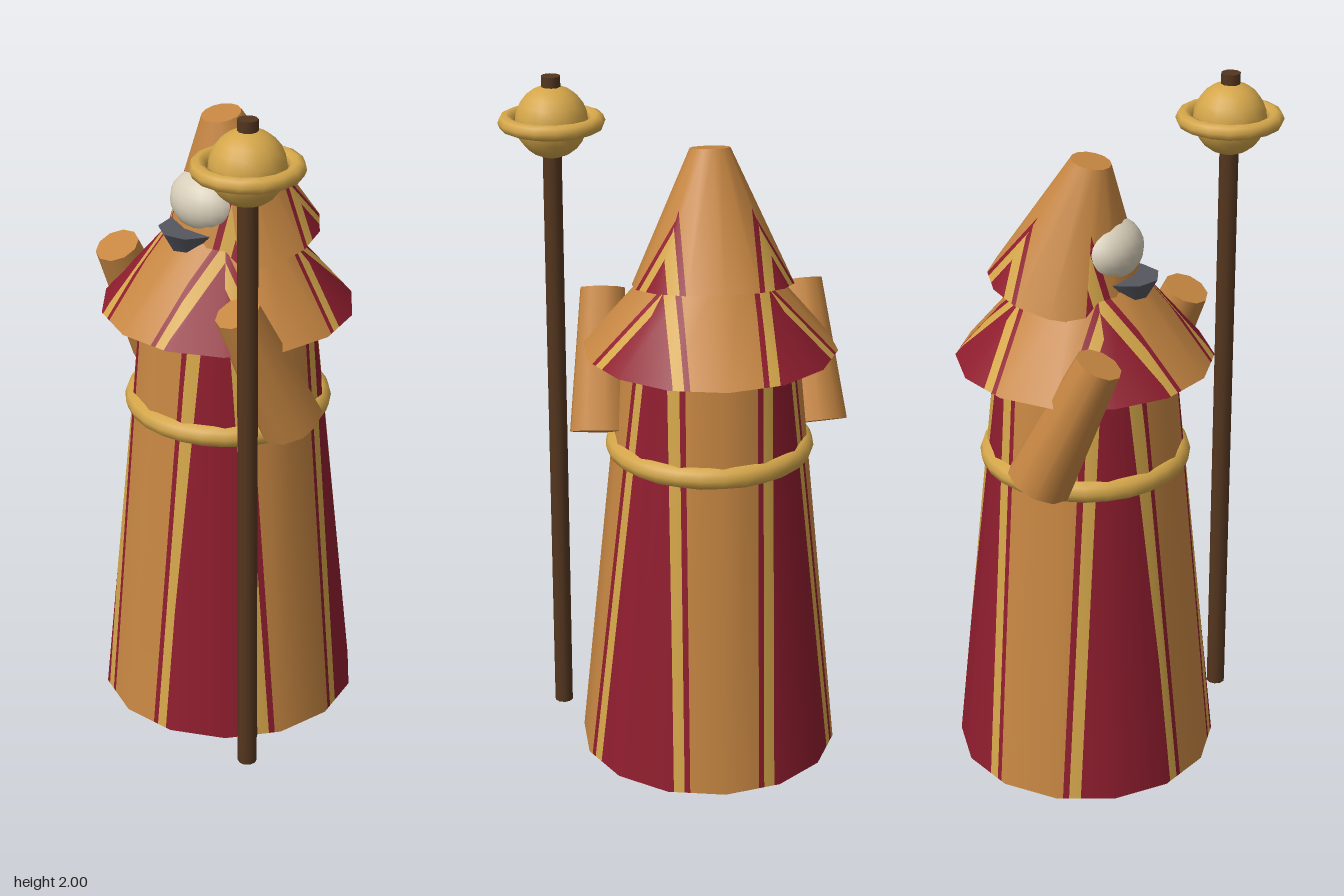
import * as THREE from 'three';

const mat = (name, color) => Object.assign(new THREE.MeshStandardMaterial({ color }), { name });
const CX = -0.083, CZ = -0.012; // axis of the figure

// Frustum running from point a (bottom) to point b (top)
function frustum(rTop, rBottom, a, b, sides) {
  const p = new THREE.Vector3(...a), q = new THREE.Vector3(...b);
  const axis = q.clone().sub(p);
  const g = new THREE.CylinderGeometry(rTop, rBottom, axis.length(), sides);
  const turn = new THREE.Quaternion().setFromUnitVectors(new THREE.Vector3(0, 1, 0), axis.normalize());
  return g.applyQuaternion(turn).translate(...p.add(q).multiplyScalar(0.5).toArray());
}

// Keep the part of a polygon where sign * (coordinate - limit) >= 0
function clip(poly, k, limit, sign) {
  const out = [];
  poly.forEach((v, i) => {
    const w = poly[(i + 1) % poly.length];
    const dv = sign * (v[k] - limit), dw = sign * (w[k] - limit);
    if (dv >= 0) out.push(v);
    if ((dv > 0 && dw < 0) || (dv < 0 && dw > 0)) {
      const t = dv / (dv - dw);
      out.push(v.map((c, j) => c + (w[j] - c) * t));
    }
  });
  return out;
}

// Band edges measured from the axis, with material slots 0 cloth, 1 crimson, 2 gold
const BANDS = [
  [-9, -0.149, 1], [-0.149, -0.118, 2], [-0.118, -0.102, 1], [-0.102, 0.102, 0],
  [0.102, 0.118, 1], [0.118, 0.149, 2], [0.149, 9, 1],
];

// Cut a geometry into straight cloth bands: sides by z, everything else by x
function banded(source) {
  const g = source.toNonIndexed();
  const pos = g.attributes.position, nor = g.attributes.normal;
  const slots = [[], [], []];
  for (let i = 0; i < pos.count; i += 3) {
    const tri = [0, 1, 2].map((j) => [
      pos.getX(i + j), pos.getY(i + j), pos.getZ(i + j),
      nor.getX(i + j), nor.getY(i + j), nor.getZ(i + j),
    ]);
    const [a, b, c] = tri.map((v) => new THREE.Vector3(v[0], v[1], v[2]));
    const n = b.sub(a).cross(c.sub(a));
    const side = Math.abs(n.x) > Math.max(Math.abs(n.y), Math.abs(n.z));
    const k = side ? 2 : 0, mid = side ? CZ : CX;
    for (const [lo, hi, slot] of BANDS) {
      const poly = clip(clip(tri, k, mid + lo, 1), k, mid + hi, -1);
      for (let j = 1; j + 1 < poly.length; j++) slots[slot].push(poly[0], poly[j], poly[j + 1]);
    }
  }
  const all = slots.flat();
  const out = new THREE.BufferGeometry();
  out.setAttribute('position', new THREE.Float32BufferAttribute(all.flatMap((v) => v.slice(0, 3)), 3));
  out.setAttribute('normal', new THREE.Float32BufferAttribute(all.flatMap((v) => v.slice(3)), 3));
  let start = 0;
  slots.forEach((s, i) => {
    out.addGroup(start, s.length, i);
    start += s.length;
  });
  return out;
}

export function createModel() {
  const cloth = mat('ochre cloth', 0xc68642);
  const crimson = mat('crimson cloth', 0x8f1d2e);
  const gold = mat('gold', 0xd4a64a);
  const wood = mat('dark wood', 0x54361f);
  const pale = mat('pale face', 0xd8cfba);
  const grey = mat('grey beard', 0x55565f);
  const striped = [cloth, crimson, gold];

  const model = new THREE.Group();
  model.name = 'robedFigure';
  const add = (name, geometry, material) => {
    const mesh = new THREE.Mesh(geometry, material);
    mesh.name = name;
    model.add(mesh);
    return mesh;
  };

  // Striped garments
  add('robe', banded(frustum(0.25, 0.383, [CX, 0, CZ], [CX, 1.32, CZ], 14)), striped);
  add('cape', banded(frustum(0.15, 0.367, [CX, 1.26, CZ], [CX, 1.515, CZ], 14)), striped);
  add('hood', banded(frustum(0.057, 0.23, [CX, 1.465, -0.063], [CX, 1.841, 0.008], 14)), striped);

  // Belt
  add('belt', new THREE.TorusGeometry(0.268, 0.035, 10, 28).rotateX(Math.PI / 2), gold)
    .position.set(CX, 0.965, CZ);

  // Face and pointed beard
  const face = add('face', new THREE.SphereGeometry(1, 20, 14), pale);
  face.scale.set(0.12, 0.09, 0.095);
  face.position.set(CX, 1.595, 0.06);
  add('beard', frustum(0.09, 0.005, [CX, 1.38, 0.12], [CX, 1.527, 0.12], 8), grey);

  // Sleeves
  for (const [name, s] of [['leftSleeve', 1], ['rightSleeve', -1]]) {
    add(name, frustum(0.066, 0.095, [CX + s * 0.313, 1.005, 0], [CX + s * 0.29, 1.385, 0.172], 10), cloth);
  }

  // Staff with ringed orb
  const SX = 0.34, SZ = 0.238;
  add('staff', frustum(0.028, 0.028, [SX, 0, SZ], [SX, 2, SZ], 10), wood);
  add('staffOrb', new THREE.SphereGeometry(0.105, 16, 12), gold).position.set(SX, 1.868, SZ);
  add('staffRing', new THREE.TorusGeometry(0.131, 0.023, 8, 16).rotateX(Math.PI / 2), gold)
    .position.set(SX, 1.868, SZ);

  return model;
}
